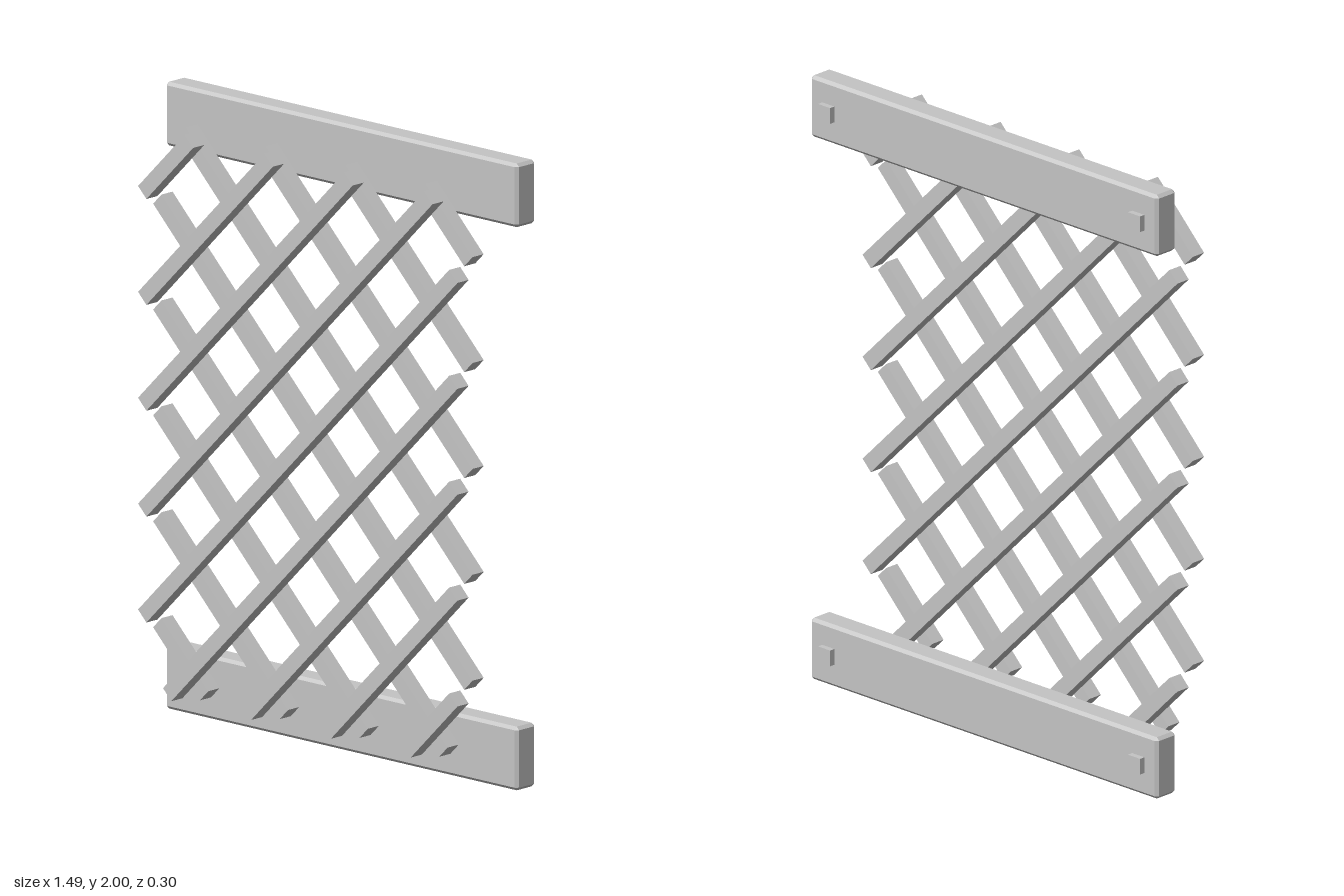
import * as THREE from 'three';
import { ConvexGeometry } from 'three/addons/geometries/ConvexGeometry.js';

// Box with every edge and corner chamfered by b
function chamferedBox(w, h, d, b) {
  const points = [];
  const half = [w / 2, h / 2, d / 2];
  for (const sx of [-1, 1]) for (const sy of [-1, 1]) for (const sz of [-1, 1]) {
    const signs = [sx, sy, sz];
    for (let axis = 0; axis < 3; axis++) {
      const c = half.map((v, i) => signs[i] * (i === axis ? v : v - b));
      points.push(new THREE.Vector3(...c));
    }
  }
  return new ConvexGeometry(points);
}

export function createModel() {
  const grey = new THREE.MeshStandardMaterial({ color: 0xc4c4c4 });
  grey.name = 'plain grey';
  const model = new THREE.Group();
  model.name = 'latticePanel';

  const add = (parent, name, geometry, x, y, z) => {
    const mesh = new THREE.Mesh(geometry, grey);
    mesh.name = name;
    mesh.position.set(x, y, z);
    parent.add(mesh);
    return mesh;
  };

  // Bottom and top rails, each with two square pegs at the back
  const railGeometry = chamferedBox(1.49, 0.203, 0.087, 0.01);
  const pegGeometry = new THREE.BoxGeometry(0.052, 0.052, 0.04);
  for (const [name, y] of [['bottomRail', 0.1035], ['topRail', 1.8985]]) {
    const rail = new THREE.Group();
    rail.name = name;
    add(rail, 'railBoard', railGeometry, 0, y, -0.0885);
    for (const side of [-1, 1]) add(rail, 'railPeg', pegGeometry, side * 0.665, y, -0.131);
    model.add(rail);
  }

  // Two layers of diagonal slats, clipped to a rectangle;
  // the back layer is the mirror image of the front one
  const halfWidth = 0.658, bottom = 0.117, top = 1.897;
  const middle = 1.007, spacing = 0.3375;
  for (const [name, dir, z] of [['frontSlats', 1, 0.124], ['backSlats', -1, 0.056]]) {
    const layer = new THREE.Group();
    layer.name = name;
    for (let k = -4; k <= 4; k++) {
      const c = middle + k * spacing;
      const x0 = Math.max(-halfWidth, bottom - c);
      const x1 = Math.min(halfWidth, top - c);
      const xm = (x0 + x1) / 2;
      const geometry = new THREE.BoxGeometry((x1 - x0) * Math.SQRT2, 0.05, 0.05);
      const slat = add(layer, 'slat', geometry, dir * xm, xm + c, z);
      slat.rotation.z = dir * Math.PI / 4;
    }
    model.add(layer);
  }
  return model;
}
